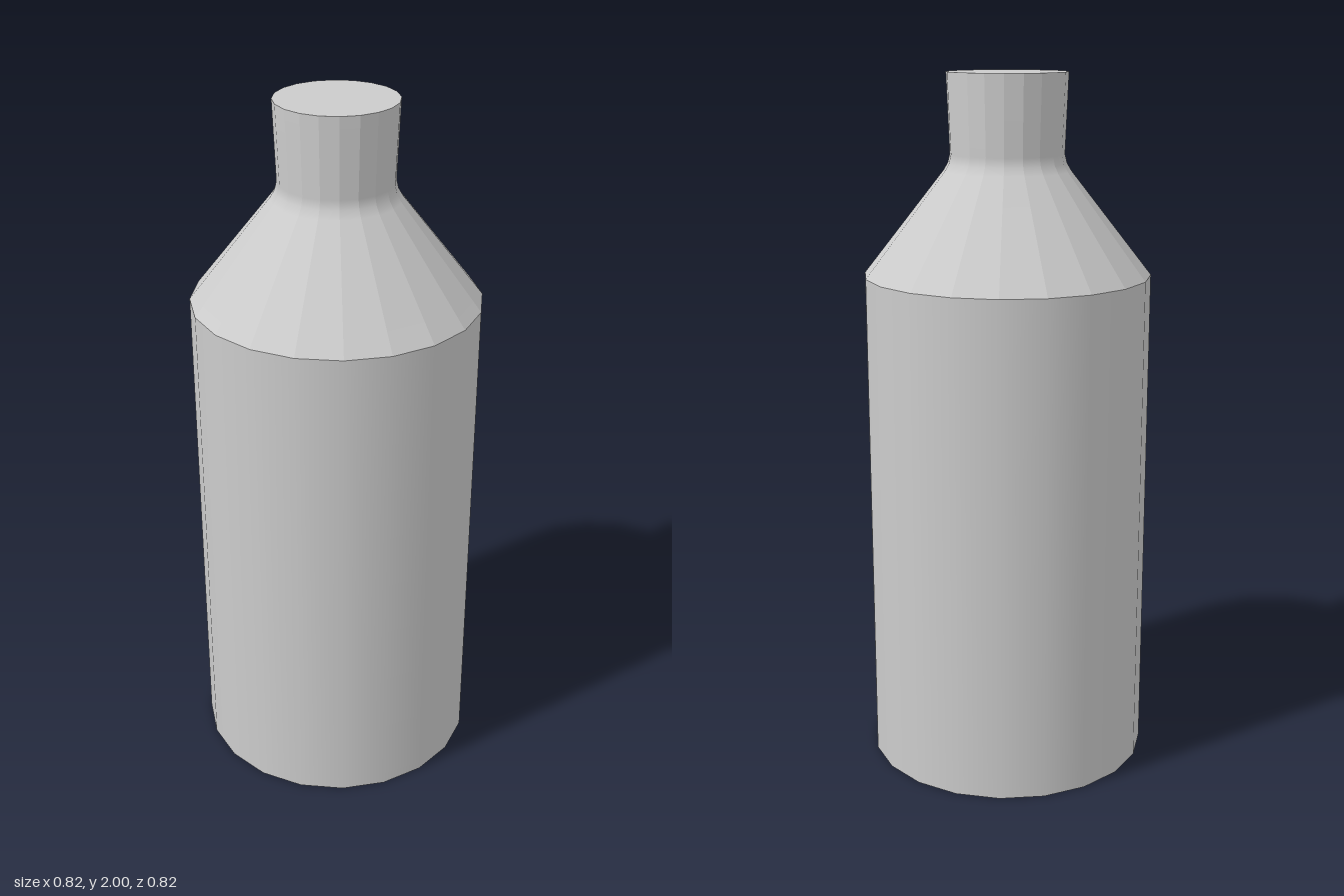
import * as THREE from 'three';

const SIDES = 20;
const material = new THREE.MeshStandardMaterial({ color: 0xcccccc });

function lathe(profile) {
  return new THREE.LatheGeometry(profile.map(([r, y]) => new THREE.Vector2(r, y)), SIDES);
}

// Facets flat around the axis while staying smooth along the profile.
function facetAround(geometry) {
  const g = geometry.toNonIndexed();
  const p = g.attributes.position, n = g.attributes.normal;
  const step = (Math.PI * 2) / SIDES;
  for (let i = 0; i < p.count; i += 3) {
    const cx = p.getX(i) + p.getX(i + 1) + p.getX(i + 2);
    const cz = p.getZ(i) + p.getZ(i + 1) + p.getZ(i + 2);
    const angle = (Math.floor(Math.atan2(cx, cz) / step) + 0.5) * step;
    for (let j = i; j < i + 3; j++) {
      const y = n.getY(j), h = Math.sqrt(Math.max(0, 1 - y * y));
      n.setXYZ(j, h * Math.sin(angle), y, h * Math.cos(angle));
    }
  }
  return g;
}

export function createModel() {
  const group = new THREE.Group();
  const add = (name, geometry) => {
    const mesh = new THREE.Mesh(geometry, material);
    mesh.name = name;
    group.add(mesh);
  };

  // Straight cylindrical body
  add('body', lathe([[0.408, 0], [0.408, 1.44]]));

  // Conical shoulder bending into a slightly flared neck
  add('shoulderAndNeck', facetAround(lathe([
    [0.408, 1.44], [0.18, 1.73], [0.167, 1.752], [0.161, 1.777], [0.17, 2],
  ])));

  // Closing discs
  add('base', new THREE.CircleGeometry(0.408, SIDES).rotateX(Math.PI / 2));
  add('topCap', new THREE.CircleGeometry(0.17, SIDES).rotateX(-Math.PI / 2).translate(0, 2, 0));

  return group;
}
